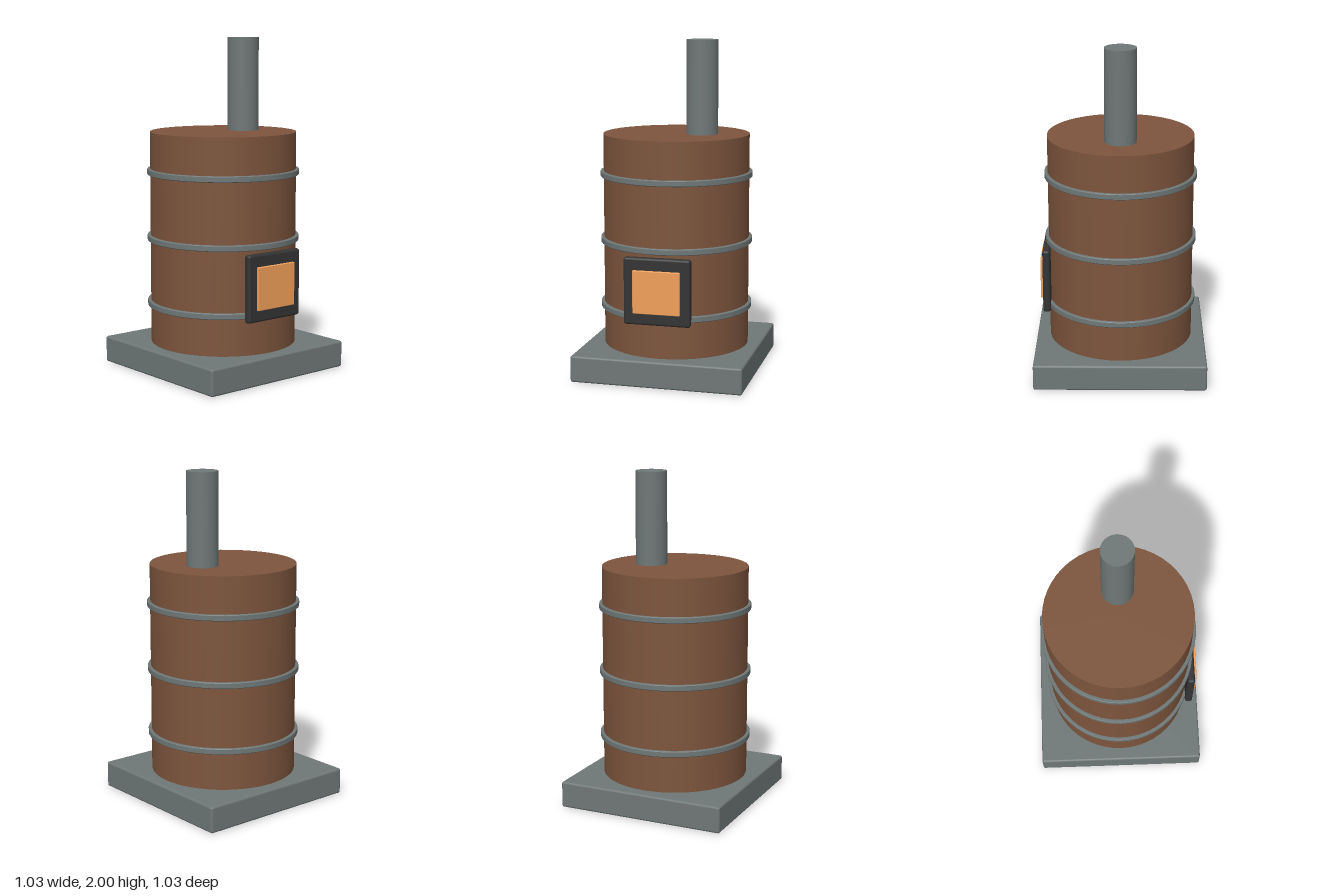
import * as THREE from 'three';
import { RoundedBoxGeometry } from 'three/addons/geometries/RoundedBoxGeometry.js';
import { toCreasedNormals } from 'three/addons/utils/BufferGeometryUtils.js';

const paint = (color) => new THREE.MeshStandardMaterial({ color });

export function createModel() {
  const model = new THREE.Group();
  model.name = 'barrelStove';

  const iron = paint(0x6f7877);
  const rust = paint(0x7d553d);
  const black = paint(0x343434);
  const glow = paint(0xf0a05a);

  const add = (name, geometry, material, x, y, z) => {
    const mesh = new THREE.Mesh(geometry, material);
    mesh.name = name;
    mesh.position.set(x, y, z);
    model.add(mesh);
  };

  // Square plinth
  add('base', new RoundedBoxGeometry(1.035, 0.16, 1.035, 3, 0.013), iron, 0, 0.08, 0);

  // Barrel body
  add('body', new THREE.CylinderGeometry(0.44, 0.44, 1.28, 48), rust, 0, 0.8, 0);

  // Hoops: a flat strip with slightly bevelled outer edges
  const h = 0.018, bevel = 0.004, inner = 0.435, outer = 0.459;
  const profile = [
    [inner, -h], [outer - bevel, -h], [outer, -h + bevel],
    [outer, h - bevel], [outer - bevel, h], [inner, h],
  ].map(([r, y]) => new THREE.Vector2(r, y));
  const hoop = toCreasedNormals(new THREE.LatheGeometry(profile, 48), 0.6);
  [0.4, 0.8, 1.2].forEach((y, i) => add(`hoop${i + 1}`, hoop, iron, 0, y, 0));

  // Chimney, set off to the left
  add('chimney', new THREE.CylinderGeometry(0.095, 0.095, 0.56, 32), iron, 0.158, 1.72, 0);

  // Fire door and its glowing window
  add('doorFrame', new RoundedBoxGeometry(0.4, 0.4, 0.046, 3, 0.015), black, 0, 0.564, 0.447);
  add('fireWindow', new RoundedBoxGeometry(0.284, 0.256, 0.03, 2, 0.004), glow, 0, 0.563, 0.471);

  return model;
}
